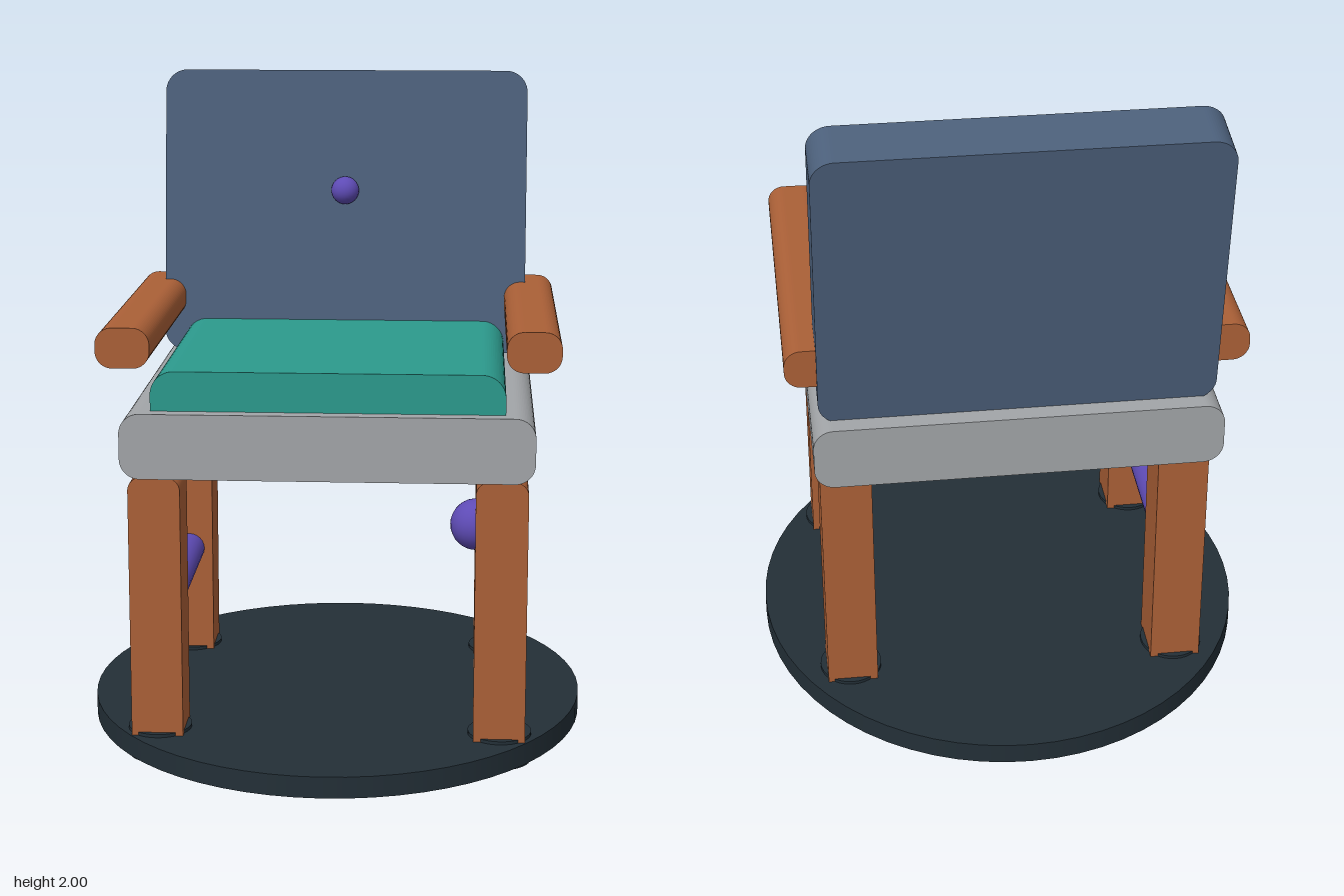
import * as THREE from 'three';

const mat = (name, color) => {
  const m = new THREE.MeshStandardMaterial({ color });
  m.name = name;
  return m;
};

// Rectangle centred on the origin; rt and rb round the top and bottom corners
function roundedRect(w, h, rt, rb) {
  const x = w / 2, y = h / 2, s = new THREE.Shape();
  s.moveTo(-x + rb, -y);
  s.lineTo(x - rb, -y);
  if (rb) s.absarc(x - rb, -y + rb, rb, -Math.PI / 2, 0);
  s.lineTo(x, y - rt);
  s.absarc(x - rt, y - rt, rt, 0, Math.PI / 2);
  s.lineTo(-x + rt, y);
  s.absarc(-x + rt, y - rt, rt, Math.PI / 2, Math.PI);
  s.lineTo(-x, -y + rb);
  if (rb) s.absarc(-x + rb, -y + rb, rb, Math.PI, Math.PI * 1.5);
  return s;
}

export function createModel() {
  const group = new THREE.Group();
  group.name = 'armchair';

  const wood = mat('wood', 0xab6037);
  const blue = mat('slate blue', 0x4c607b);
  const teal = mat('teal fabric', 0x2c9a8d);
  const grey = mat('grey', 0xa2a5a8);
  const purple = mat('purple', 0x5e4bb5);
  const dark = mat('dark base', 0x232f37);

  const add = (name, geometry, material, x, y, z) => {
    const mesh = new THREE.Mesh(geometry, material);
    mesh.name = name;
    mesh.position.set(x, y, z);
    group.add(mesh);
    return mesh;
  };
  // Slab with rounded front outline, centred on its position
  const slab = (w, h, d, rt, rb = rt) => new THREE.ExtrudeGeometry(
    roundedRect(w, h, rt, rb), { depth: d, bevelEnabled: false, curveSegments: 8 }
  ).translate(0, 0, -d / 2);
  // Upright oval disc
  const disc = (rx, rz, h, n) => new THREE.CylinderGeometry(1, 1, h, n).scale(rx, 1, rz);

  // Floor plate
  add('basePlate', disc(0.77, 0.845, 0.065, 64), dark, 0, 0.0475, 0);

  // Seat, cushion and tilted back
  add('seat', slab(1.215, 0.195, 1.15, 0.06), grey, 0, 0.9825, 0);
  add('cushion', slab(1.04, 0.12, 0.95, 0.07, 0), teal, 0, 1.138, 0.053);
  add('backrest', slab(1.175, 0.914, 0.18, 0.07), blue, 0, 1.535, -0.49)
    .rotation.x = -0.143;
  add('backButton', new THREE.SphereGeometry(0.045, 24, 16), purple, 0, 1.617, -0.4);

  for (const side of [-1, 1]) {
    const label = side > 0 ? 'left' : 'right';
    add(label + 'Armrest', slab(0.16, 0.12, 1.05, 0.05), wood, side * 0.6, 1.265, 0);

    // Legs standing in small oval feet
    for (const [end, z] of [['Front', 0.45], ['Back', -0.385]]) {
      add(label + end + 'Leg', slab(0.155, 0.85, 0.17, 0.04, 0), wood, side * 0.513, 0.455, z);
      add(label + end + 'Foot', disc(0.096, 0.105, 0.09, 32), dark, side * 0.515, 0.045, z);
    }

    // Rod joining front and back leg
    add(label + 'Stretcher', new THREE.CylinderGeometry(0.05, 0.05, 0.72, 24).rotateX(Math.PI / 2),
      purple, side * 0.513, 0.43, 0.0325);
  }

  // Knob on the inner corner of the left front leg
  add('legKnob', new THREE.SphereGeometry(0.077, 24, 16), purple, 0.437, 0.718, 0.4);

  return group;
}
